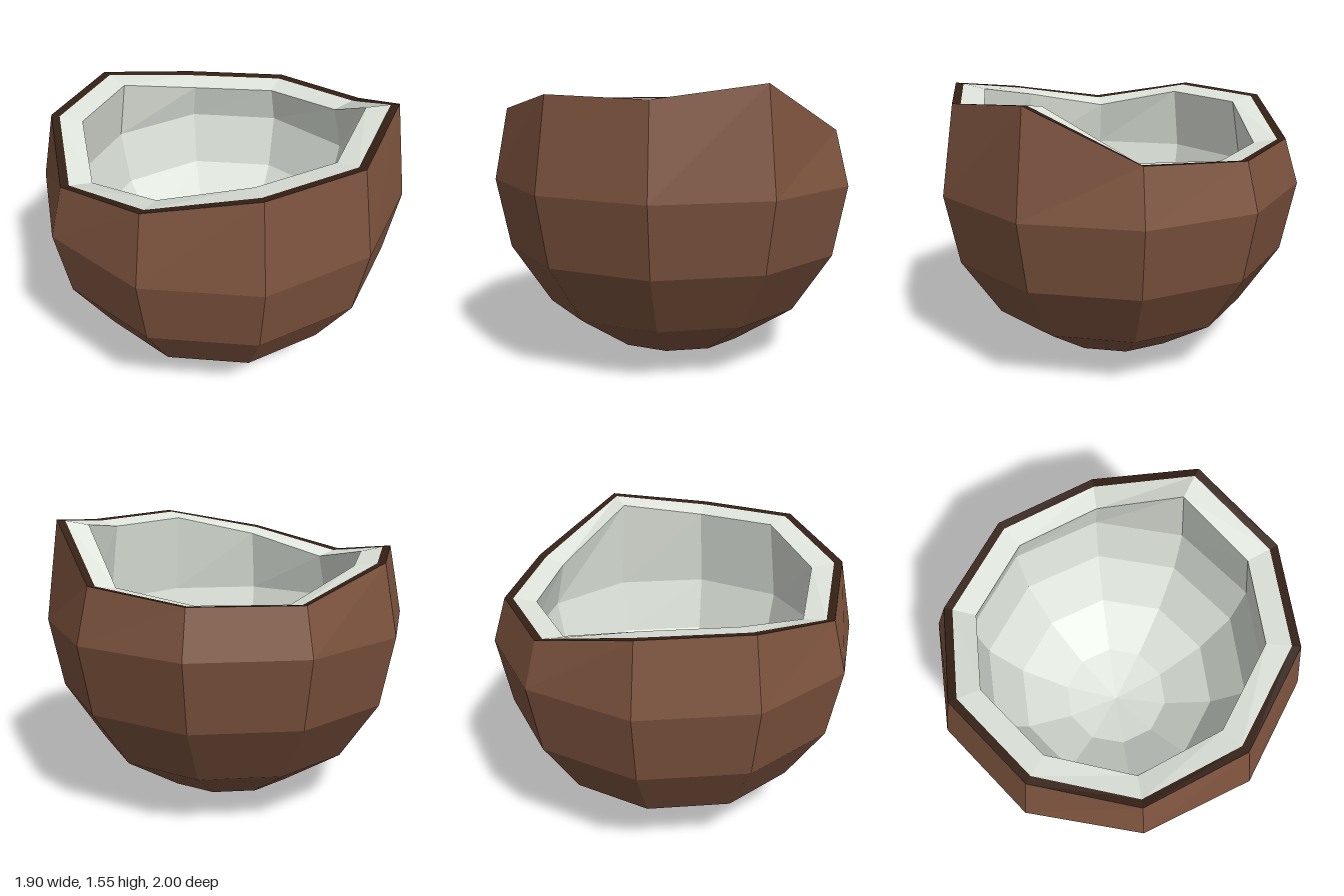
import * as THREE from 'three';

const SIDES = 10;
// Height of the uneven broken edge at each corner, starting at the front (+z) and turning towards +x
const EDGE = [1.48, 1.55, 1.29, 1.25, 1.245, 1.38, 1.38, 1.28, 1.385, 1.49];

// Rings are [radius, height]; in edge rings the height is an offset from the broken edge
const edgeRing = (r, drop) => ({ r, y: (k) => EDGE[k] - drop });
const ring = (r, y) => ({ r, y: () => y });

// Facets between successive rings; listing rings bottom-up makes them face outwards
function facets(name, color, rings) {
  const point = ({ r, y }, k) => {
    const a = (k / SIDES) * Math.PI * 2;
    return [r * Math.sin(a), y(k % SIDES), r * Math.cos(a)];
  };
  const pos = [];
  for (let i = 0; i < rings.length - 1; i++) {
    const lo = rings[i], hi = rings[i + 1];
    for (let k = 0; k < SIDES; k++) {
      const a = point(lo, k), b = point(lo, k + 1);
      const c = point(hi, k + 1), d = point(hi, k);
      if (lo.r > 0) pos.push(...a, ...b, ...c);
      if (hi.r > 0) pos.push(...a, ...c, ...d);
    }
  }
  const geo = new THREE.BufferGeometry();
  geo.setAttribute('position', new THREE.Float32BufferAttribute(pos, 3));
  geo.computeVertexNormals();
  const mesh = new THREE.Mesh(geo, new THREE.MeshStandardMaterial({ color, flatShading: true }));
  mesh.name = name;
  return mesh;
}

export function createModel() {
  const group = new THREE.Group();
  group.name = 'halfCoconut';

  // Shell profile from the bottom tip to the widest ring
  const profile = [[0, 0], [0.38, 0.08], [0.71, 0.295], [0.925, 0.62], [1, 1]];
  const outer = profile.map(([r, y]) => ring(r, y));

  // The hollow is the same profile shrunk about the widest ring's centre
  const S = 0.816;
  const inner = profile.map(([r, y]) => ring(r * S, 1 - (1 - y) * S)).reverse();

  const outerEdge = edgeRing(0.925, 0);
  const fleshEdge = edgeRing(0.88, 0.006);
  const hollowEdge = edgeRing(0.755, 0.03);

  group.add(
    facets('shell', 0x7d533e, [...outer, outerEdge]),
    facets('shellRim', 0x342015, [outerEdge, fleshEdge]),
    facets('flesh', 0xdfe5dc, [fleshEdge, hollowEdge, ...inner]),
  );
  return group;
}
